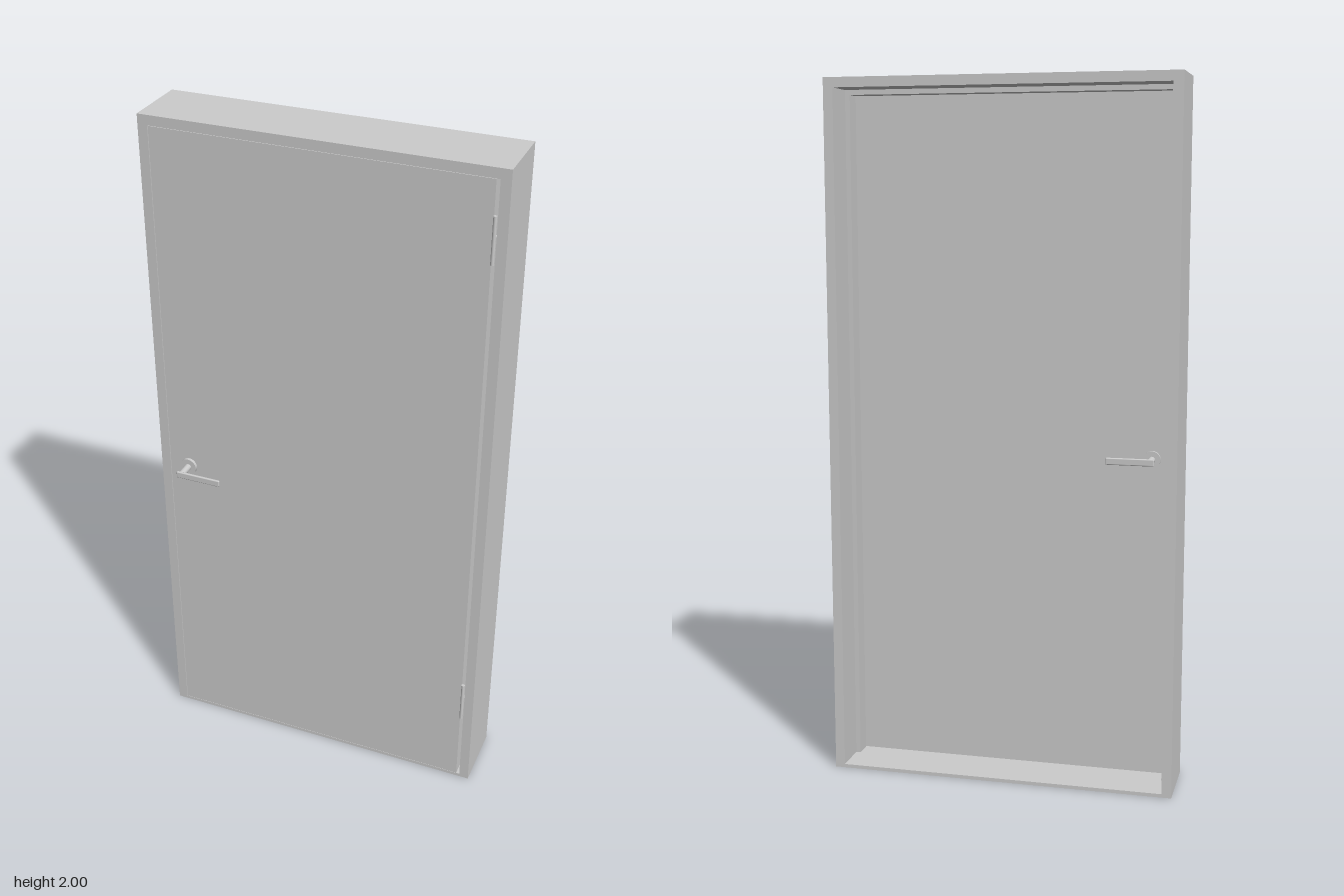
import * as THREE from 'three';
import { RoundedBoxGeometry } from 'three/addons/geometries/RoundedBoxGeometry.js';

const material = new THREE.MeshStandardMaterial({ color: 0xcccccc });
const BACK = -0.13, FRONT = 0.067, LEAF_BACK = 0.02;

function add(parent, name, geometry, x = 0, y = 0, z = 0) {
  const mesh = new THREE.Mesh(geometry, material);
  mesh.name = name;
  mesh.position.set(x, y, z);
  parent.add(mesh);
  return mesh;
}

// Box given by its limits on each axis
function addBox(parent, name, x0, x1, y0, y1, z0, z1) {
  return add(parent, name, new THREE.BoxGeometry(x1 - x0, y1 - y0, z1 - z0),
    (x0 + x1) / 2, (y0 + y1) / 2, (z0 + z1) / 2);
}

// Two jambs and a head in one piece, open at the floor
function portal(outerX, outerTop, innerX, innerTop, z0, z1) {
  const shape = new THREE.Shape([
    [-outerX, 0], [-innerX, 0], [-innerX, innerTop], [innerX, innerTop],
    [innerX, 0], [outerX, 0], [outerX, outerTop], [-outerX, outerTop],
  ].map(([x, y]) => new THREE.Vector2(x, y)));
  return new THREE.ExtrudeGeometry(shape, { depth: z1 - z0, bevelEnabled: false }).translate(0, 0, z0);
}

// Lever handle pointing along +z from the leaf surface
function leverHandle(name) {
  const handle = new THREE.Group();
  handle.name = name;
  add(handle, 'rose', new THREE.CylinderGeometry(0.025, 0.025, 0.009, 24).rotateX(Math.PI / 2), 0, 0, 0.0045);
  add(handle, 'spindle', new THREE.CylinderGeometry(0.01, 0.01, 0.046, 16).rotateX(Math.PI / 2), 0, 0, 0.031);
  add(handle, 'lever', new RoundedBoxGeometry(0.137, 0.02, 0.008, 2, 0.003), 0.0555, 0, 0.055);
  return handle;
}

export function createModel() {
  const door = new THREE.Group();
  door.name = 'door';

  // Frame with an inner stop and a thin sill
  add(door, 'frame', portal(0.5, 2, 0.472, 1.972, BACK, FRONT));
  add(door, 'doorStop', portal(0.474, 1.974, 0.458, 1.958, -0.03, LEAF_BACK));
  addBox(door, 'sill', -0.472, 0.472, 0, 0.01, BACK, FRONT);

  // Leaf, with a wider gap on the hinge side
  addBox(door, 'leaf', -0.47, 0.462, 0.011, 1.971, LEAF_BACK, FRONT);

  // Hinges: a barrel and a slim plate reaching into the gap
  for (const y of [0.315, 1.815]) {
    const hinge = new THREE.Group();
    hinge.name = 'hinge';
    add(hinge, 'barrel', new THREE.CylinderGeometry(0.005, 0.005, 0.13, 16), 0.467, y, 0.0735);
    addBox(hinge, 'plate', 0.464, 0.469, y - 0.063, y + 0.003, 0.045, 0.072);
    door.add(hinge);
  }

  // Lever handles on both faces, mirrored front to back
  const front = leverHandle('frontHandle');
  front.position.set(-0.41, 0.94, FRONT);
  const back = leverHandle('backHandle');
  back.position.set(-0.41, 0.94, LEAF_BACK);
  back.scale.z = -1;
  door.add(front, back);

  return door;
}
